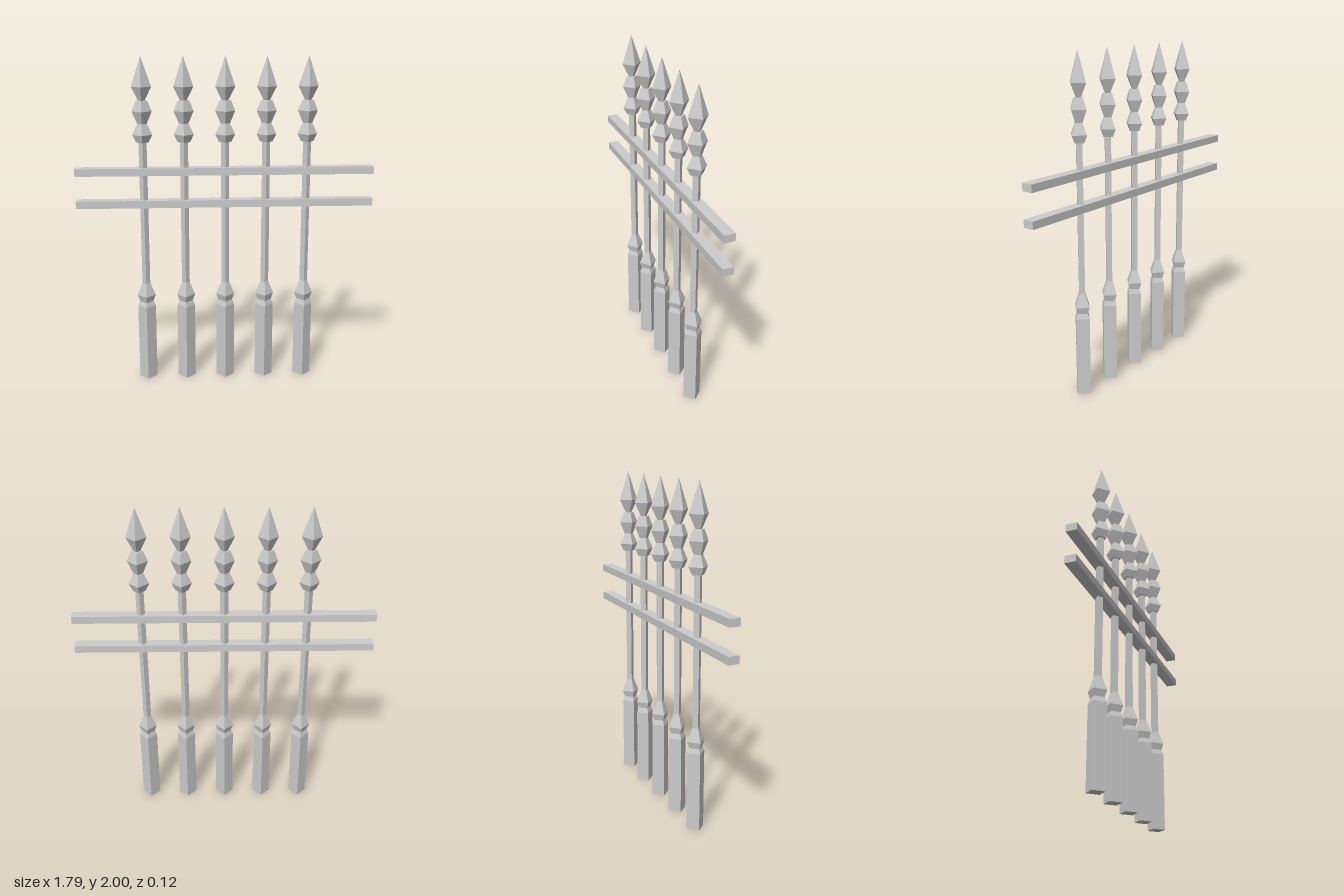
import * as THREE from 'three';

const material = new THREE.MeshStandardMaterial({ color: 0xcccccc, flatShading: true });

// Four-sided turned part with its corners on the x and z axes; profile is [radius, y], bottom to top
function turned(name, profile) {
  const points = profile.map(([r, y]) => new THREE.Vector2(r, y));
  const mesh = new THREE.Mesh(new THREE.LatheGeometry(points, 4), material);
  mesh.name = name;
  return mesh;
}

function createPicket(x) {
  const picket = new THREE.Group();
  picket.name = 'picket';
  picket.position.x = x;
  picket.add(
    // Thick foot with a notched collar tapering into the shaft
    turned('foot', [[0, 0], [0.055, 0], [0.055, 0.475], [0.042, 0.505], [0.056, 0.545], [0.024, 0.625]]),
    turned('shaft', [[0.024, 0.62], [0.024, 1.51]]),
    // Two faceted beads below the spearhead
    turned('lowerBead', [[0, 1.5], [0.037, 1.5], [0.059, 1.545], [0.026, 1.615], [0, 1.615]]),
    turned('upperBead', [[0, 1.61], [0.028, 1.61], [0.059, 1.683], [0.034, 1.745], [0, 1.745]]),
    turned('spearhead', [[0, 1.73], [0.012, 1.73], [0.059, 1.825], [0, 2]]),
  );
  return picket;
}

export function createModel() {
  const fence = new THREE.Group();
  fence.name = 'fence';

  for (let i = -2; i <= 2; i++) fence.add(createPicket(i * 0.2445));

  // Horizontal rails
  for (const [name, y] of [['lowerRail', 1.13], ['upperRail', 1.326]]) {
    const rail = new THREE.Mesh(new THREE.BoxGeometry(1.786, 0.045, 0.066), material);
    rail.name = name;
    rail.position.y = y;
    fence.add(rail);
  }
  return fence;
}
